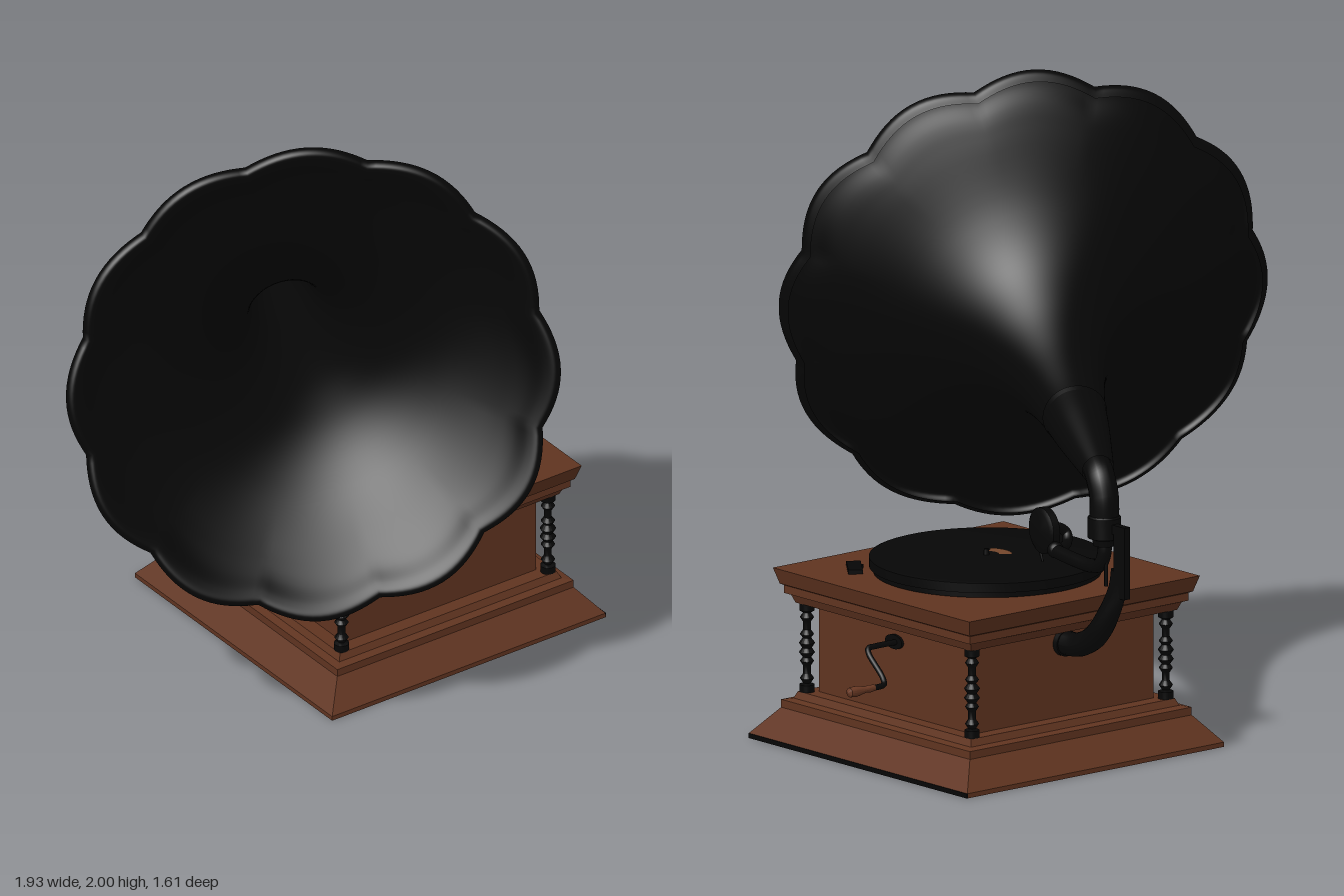
import * as THREE from 'three';
import { mergeVertices, toCreasedNormals } from 'three/addons/utils/BufferGeometryUtils.js';

const V2 = (a) => a.map(([x, y]) => new THREE.Vector2(x, y));
const V3 = (a) => a.map((p) => new THREE.Vector3(...p));

export function createModel() {
  const model = new THREE.Group();
  model.name = 'gramophone';

  const mat = (name, color) => {
    const m = new THREE.MeshStandardMaterial({ color, side: THREE.DoubleSide });
    m.name = name;
    return m;
  };
  const black = mat('black enamel', 0x060606);
  const wood = mat('brown wood', 0x603420);
  const gripWood = mat('handle wood', 0x693924);
  const paper = mat('record label', 0x74462c);

  const add = (name, geo, material, pos = [0, 0, 0], rot = [0, 0, 0], parent = model) => {
    const mesh = new THREE.Mesh(geo, material);
    mesh.name = name;
    mesh.position.set(...pos);
    mesh.rotation.set(...rot);
    parent.add(mesh);
    return mesh;
  };
  const tube = (name, pts, r) =>
    add(name, new THREE.TubeGeometry(new THREE.CatmullRomCurve3(V3(pts)), 40, r, 16), black);
  const lathe = (pts, seg = 24) => toCreasedNormals(new THREE.LatheGeometry(V2(pts), seg), 0.6);

  const CX = 0.31, CZ = -0.125;

  // Cabinet: hollow square shell with moulded base and top, open underneath
  const profile = [
    [0.523, 0], [0.523, 0.015], [0.452, 0.1], [0.452, 0.125], [0.425, 0.13], [0.415, 0.152],
    [0.368, 0.152], [0.368, 0.435], [0.42, 0.435], [0.43, 0.46], [0.445, 0.465], [0.445, 0.49],
    [0.455, 0.495], [0.47, 0.545], [0, 0.545],
  ].map(([h, y]) => [h * Math.SQRT2, y]);
  const shell = new THREE.LatheGeometry(V2(profile), 4, Math.PI / 4).toNonIndexed();
  shell.computeVertexNormals();
  add('cabinet', shell, wood, [CX, 0, CZ]);
  add('baseStrip', new THREE.BoxGeometry(0.004, 0.015, 1.046), black, [CX + 0.523, 0.0075, CZ]);

  // Turned corner columns
  const column = lathe([
    [0.024, 0.152], [0.024, 0.175], [0.012, 0.18], [0.022, 0.195], [0.012, 0.21], [0.012, 0.235],
    [0.022, 0.25], [0.013, 0.262], [0.025, 0.278], [0.015, 0.292], [0.025, 0.308], [0.013, 0.324],
    [0.022, 0.336], [0.012, 0.35], [0.012, 0.375], [0.022, 0.39], [0.012, 0.405], [0.024, 0.412],
    [0.024, 0.436],
  ], 16);
  for (const sx of [-1, 1]) for (const sz of [-1, 1])
    add('cornerColumn', column, black, [CX + sx * 0.395, 0, CZ + sz * 0.395]);

  // Oval domed badge on the front
  const badge = add('frontBadge', new THREE.SphereGeometry(1, 40, 16), black, [CX, 0.293, CZ + 0.373]);
  badge.scale.set(0.078, 0.05, 0.006);

  // Turntable, record label and spindle
  add('turntable', lathe([[0, 0.549], [0.355, 0.549], [0.355, 0.565], [0.368, 0.567],
    [0.368, 0.597], [0.36, 0.6], [0, 0.6]], 72), black, [CX, 0, CZ - 0.005]);
  add('recordLabel', new THREE.RingGeometry(0.038, 0.08, 24, 1, Math.PI * 0.76, Math.PI * 0.46), paper,
    [CX, 0.602, CZ], [-Math.PI / 2, 0, 0]);
  add('spindle', new THREE.CylinderGeometry(0.008, 0.01, 0.025, 12), black, [CX, 0.606, CZ]);

  // Brake and speed levers on the deck
  add('brakeLever', new THREE.BoxGeometry(0.045, 0.014, 0.12), black, [0.605, 0.552, 0.16], [0, -0.65, 0]);
  add('brakeKnob', new THREE.BoxGeometry(0.09, 0.01, 0.03), black, [0.605, 0.55, 0.15], [0, 0.7, 0]);
  add('speedLever', new THREE.BoxGeometry(0.11, 0.012, 0.012), black, [0.02, 0.565, 0.14]);

  // Winding crank
  const plate = add('crankPlate', new THREE.CylinderGeometry(1, 1, 0.009, 32), black,
    [0.682, 0.38, -0.122], [0, 0, Math.PI / 2]);
  plate.scale.set(0.023, 1, 0.04);
  tube('crankArm', [[0.67, 0.38, -0.13], [0.77, 0.38, -0.13], [0.795, 0.378, -0.13], [0.805, 0.365, -0.143],
    [0.805, 0.3, -0.21], [0.815, 0.283, -0.228], [0.84, 0.28, -0.23], [0.87, 0.28, -0.23]], 0.009);
  add('crankHandle', lathe([[0, 0], [0.01, 0], [0.012, 0.02], [0.01, 0.035], [0.017, 0.075],
    [0.015, 0.1], [0, 0.108]], 16), gripWood, [0.857, 0.28, -0.23], [0, 0, -Math.PI / 2]);

  // Rear bracket that carries the horn; its curve flattens towards the post
  add('bracketFlange', new THREE.CylinderGeometry(0.042, 0.042, 0.02, 24), black,
    [CX, 0.388, -0.502], [Math.PI / 2, 0, 0]);
  const curve = tube('bracketCurve', [[CX, 0.388, -0.49], [CX, 0.395, -0.57], [CX, 0.435, -0.645],
    [CX, 0.52, -0.71], [CX, 0.6, -0.75], [CX, 0.66, -0.762]], 0.038).geometry;
  const c = curve.attributes.position;
  for (let i = 0; i < c.count; i++) {
    const flat = 1 - 0.68 * THREE.MathUtils.smoothstep(c.getY(i), 0.44, 0.64);
    c.setX(i, CX + (c.getX(i) - CX) * flat);
  }
  curve.computeVertexNormals();
  add('bracketPost', new THREE.BoxGeometry(0.024, 0.23, 0.053), black, [CX, 0.695, -0.773]);
  add('bracketTop', new THREE.BoxGeometry(0.024, 0.03, 0.12), black, [CX, 0.795, -0.737]);

  // Swivel collar, its thin stem, and bent neck
  add('swivelCollar', lathe([[0, 0.735], [0.035, 0.735], [0.038, 0.755], [0.052, 0.76], [0.052, 0.825],
    [0.046, 0.83], [0, 0.83]], 32), black, [CX, 0, -0.69]);
  add('swivelStem', new THREE.CylinderGeometry(0.006, 0.006, 0.13, 10), black, [CX, 0.67, -0.698]);
  tube('hornNeck', [[CX, 0.8, -0.69], [CX, 0.89, -0.688], [0.305, 0.945, -0.665],
    [0.283, 0.97, -0.62], [0.27, 0.978, -0.59]], 0.046);

  // Tone arm, gooseneck and sound box
  tube('toneArm', [[CX, 0.76, -0.69], [CX, 0.71, -0.69], [CX, 0.67, -0.67], [0.302, 0.655, -0.62],
    [0.285, 0.652, -0.52], [0.262, 0.655, -0.4]], 0.022);
  add('toneArmTip', new THREE.SphereGeometry(0.026, 16, 12), black, [0.262, 0.658, -0.4]);
  tube('gooseneck', [[0.262, 0.655, -0.4], [0.225, 0.65, -0.375], [0.17, 0.655, -0.345],
    [0.153, 0.68, -0.325], [0.175, 0.7, -0.315], [0.23, 0.7, -0.312]], 0.016);
  add('soundBox', lathe([[0, -0.02], [0.06, -0.02], [0.073, -0.012], [0.073, 0.012], [0.06, 0.02],
    [0, 0.02]], 32), black, [0.232, 0.7, -0.312], [0, -0.15, Math.PI / 2]);
  add('needle', new THREE.CylinderGeometry(0.007, 0.003, 0.05, 10), black, [0.235, 0.622, -0.298], [0.35, 0, 0]);

  // Flared horn with twelve scalloped petals and a rolled lip
  const horn = new THREE.Group();
  horn.name = 'horn';
  const side = new THREE.Vector3(0.874, 0, 0.487).normalize();
  const axis = new THREE.Vector3(-0.473, 0.233, 0.85).normalize();
  horn.quaternion.setFromRotationMatrix(
    new THREE.Matrix4().makeBasis(side, axis, new THREE.Vector3().crossVectors(side, axis)));
  horn.position.set(-0.285, 1.25, 0.4);
  model.add(horn);

  const flare = new THREE.SplineCurve(V2([[0.05, -1.23], [0.085, -0.98], [0.107, -0.79], [0.145, -0.61],
    [0.203, -0.46], [0.29, -0.325], [0.415, -0.21], [0.6, -0.092], [0.67, -0.045], [0.72, -0.003],
    [0.752, 0.014], [0.771, 0.002], [0.77, -0.022], [0.75, -0.042]])).getPoints(84);
  let bell = new THREE.LatheGeometry(flare, 192);
  const p = bell.attributes.position;
  for (let i = 0; i < p.count; i++) {
    const x = p.getX(i), z = p.getZ(i), r = Math.hypot(x, z);
    const w = THREE.MathUtils.smoothstep(r, 0.45, 0.77);
    const notch = 1 - Math.abs(Math.cos(6 * Math.atan2(x, z)));
    const k = 1 - 0.045 * w * notch;
    p.setXYZ(i, x * k, p.getY(i) - 0.02 * w * notch, z * k);
  }
  bell.deleteAttribute('uv');
  bell.deleteAttribute('normal');
  bell = mergeVertices(bell);
  bell.computeVertexNormals();
  add('hornBell', bell, black, [0, 0, 0], [0, 0, 0], horn);
  add('hornJoint', new THREE.CylinderGeometry(0.102, 0.098, 0.02, 48, 1, true), black,
    [0, -0.86, 0], [0, 0, 0], horn);

  return model;
}
